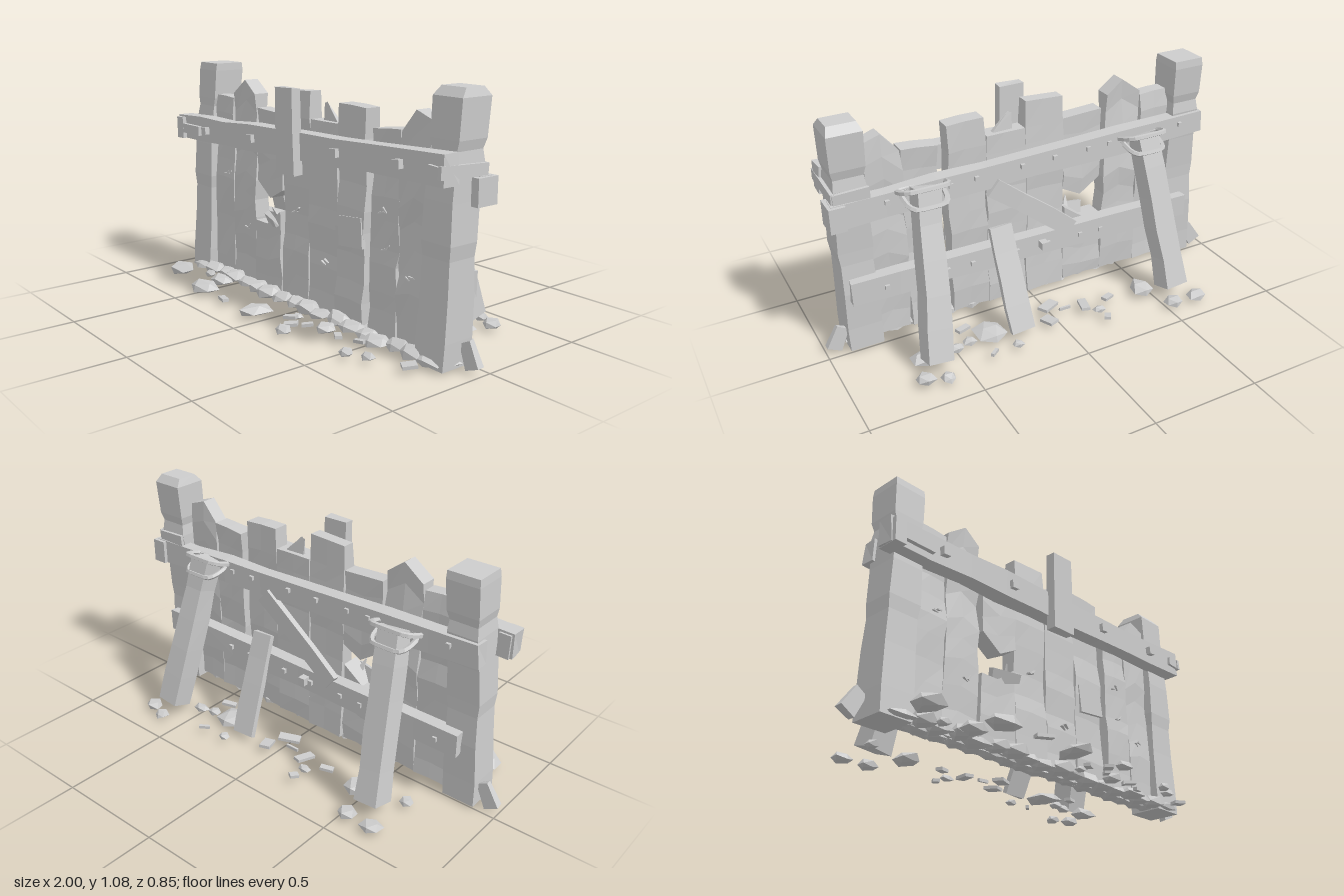
import * as THREE from 'three';

const stone = new THREE.MeshStandardMaterial({ color: 0xcccccc, flatShading: true });
stone.name = 'weathered grey';

// repeatable noise in -1..1, shared by coincident corners
function noise(i, j, k, seed) {
  const s = Math.sin(i * 12.99 + j * 78.23 + k * 37.72 + seed * 4.137) * 43758.55;
  return (s - Math.floor(s)) * 2 - 1;
}
const lerp = THREE.MathUtils.lerp;
let seed = 1;

function finish(geo, name, parent) {
  const g = geo.index ? geo.toNonIndexed() : geo;
  g.computeVertexNormals();
  const m = new THREE.Mesh(g, stone);
  m.name = name;
  parent.add(m);
  return m;
}

// upright hewn board, thicker at the foot; bottom and top edges are given at left, middle and right
function board(parent, name, x0, x1, bottom, top, z0, z1, rows) {
  const g = new THREE.BoxGeometry(1, 1, 1, 2, rows, 1), p = g.attributes.position;
  seed++;
  for (let n = 0; n < p.count; n++) {
    const i = Math.round((p.getX(n) + 0.5) * 2), v = p.getY(n) + 0.5;
    const j = Math.round(v * rows), k = p.getZ(n) > 0 ? 1 : 0;
    const inner = j > 0 && j < rows ? 1 : 0;
    const y = lerp(bottom[i], top[i], v);
    p.setXYZ(n,
      lerp(x0, x1, i / 2) + noise(i, j, 0, seed) * 0.007,
      y + noise(0, j, 2, seed) * 0.025 * inner,
      (k ? z1 + 0.015 * (1 - y) : z0) + noise(k, j, 5, seed) * 0.008 + noise(i, j, k, seed) * 0.002);
  }
  return finish(g, name, parent);
}

// rough timber running from a to b; w is its width, t its thickness
function beam(parent, name, a, b, w, t, segs = 1, rough = 0, endScale = 1) {
  const A = new THREE.Vector3(...a), B = new THREE.Vector3(...b), d = B.clone().sub(A);
  const g = new THREE.BoxGeometry(w, d.length(), t, 1, segs, 1), p = g.attributes.position;
  seed++;
  for (let n = 0; n < p.count; n++) {
    const v = p.getY(n) / d.length() + 0.5, j = Math.round(v * segs), s = lerp(1, endScale, v);
    const i = p.getX(n) > 0 ? 1 : 0, k = p.getZ(n) > 0 ? 1 : 0;
    p.setXYZ(n, p.getX(n) * s + noise(i, j, 0, seed) * rough,
      p.getY(n) + noise(i, j, k, seed) * rough,
      p.getZ(n) * s + noise(0, j, k, seed) * rough);
  }
  const m = finish(g, name, parent);
  m.quaternion.setFromUnitVectors(new THREE.Vector3(0, 1, 0), d.normalize());
  m.position.copy(A.add(B).multiplyScalar(0.5));
  return m;
}

function block(parent, name, x, y, z, w, h, d, rx = 0, ry = 0, rz = 0) {
  const m = finish(new THREE.BoxGeometry(w, h, d), name, parent);
  m.position.set(x, y, z);
  m.rotation.set(rx, ry, rz);
  return m;
}

function rock(parent, x, z, rx, rz, h) {
  const g = new THREE.IcosahedronGeometry(1, 0), p = g.attributes.position;
  seed++;
  for (let n = 0; n < p.count; n++) {
    const a = p.getX(n), b = p.getY(n), c = p.getZ(n);
    const s = 1.1 + 0.2 * noise(Math.round(a * 9), Math.round(b * 9), Math.round(c * 9), seed);
    p.setXYZ(n, a * s * rx, Math.max(b * s, -0.5) * h * 0.7, c * s * rz);
  }
  const m = finish(g, 'rock', parent);
  m.position.set(x, 0.015 + h * 0.35, z);
}

// squared corner post leaning slightly backward; chamfer trims the head
function post(parent, name, side, xb, xt, height, chamfer) {
  // y, half width, front z, back z
  const rows = [[0.01, 0.075, 0.155, -0.002], [0.12, 0.077, 0.15, 0], [0.3, 0.073, 0.14, -0.005],
    [0.44, 0.07, 0.137, 0.002], [0.5, 0.077, 0.142, 0], [0.66, 0.072, 0.137, -0.01],
    [0.8, 0.07, 0.125, -0.03], [0.85, 0.064, 0.117, -0.022], [0.89, 0.073, 0.117, -0.033],
    [height - 0.035, 0.075, 0.11, -0.044],
    [height, 0.075 - chamfer * 0.5, 0.108 - chamfer, -0.044 + chamfer]];
  const g = new THREE.BoxGeometry(1, 1, 1, 1, rows.length - 1, 1), p = g.attributes.position;
  for (let n = 0; n < p.count; n++) {
    const r = rows[Math.round((p.getY(n) + 0.5) * (rows.length - 1))];
    p.setXYZ(n, side * lerp(xb, xt, r[0] / height) + Math.sign(p.getX(n)) * r[1],
      r[0], p.getZ(n) > 0 ? r[2] : r[3]);
  }
  finish(g, name, parent);
}

export function createModel() {
  const model = new THREE.Group();
  model.name = 'brokenFence';

  // corner posts and the wedges at their feet
  post(model, 'rightPost', -1, 0.825, 0.785, 1.06, 0.004);
  post(model, 'leftPost', 1, 0.825, 0.845, 1.08, 0.028);
  for (const s of [-1, 1])
    beam(model, 'footWedge', [s * 0.965, 0.02, 0.045], [s * 0.915, 0.115, 0.045], 0.07, 0.03, 1, 0.004, 0.8);

  // wall boards: x range, bottom edge, top edge
  const flat = y => [y, y, y], foot = [0.025, 0.03, 0.025];
  const boards = [
    [-0.745, -0.572, foot, [0.91, 0.91, 0.905]],
    [-0.57, -0.39, foot, [0.93, 1.0, 0.94]],
    [-0.38, -0.175, foot, [0.345, 0.345, 0.42]],
    [-0.365, -0.17, [0.54, 0.47, 0.52], [0.88, 0.875, 0.87]],
    [-0.168, 0.02, foot, [0.98, 0.985, 0.99]],
    [0.025, 0.215, foot, flat(0.87)],
    [0.218, 0.395, foot, [0.96, 0.96, 0.955]],
    [0.435, 0.6, foot, [0.88, 0.89, 0.895]],
    [0.602, 0.76, foot, [0.89, 0.98, 0.95]],
  ];
  boards.forEach(([x0, x1, b, t], i) => {
    const dz = noise(i, 3, 1, 7) * 0.005;
    board(model, 'wallBoard', x0, x1, b, t, 0.032 + dz, 0.1 + dz, t[1] - b[1] < 0.5 ? 4 : 9);
  });
  // splinters at the breaks
  beam(model, 'splinter', [-0.3, 0.36, 0.09], [-0.18, 0.37, 0.14], 0.07, 0.02, 1, 0.006, 0.5);
  beam(model, 'splinter', [-0.21, 0.34, 0.08], [-0.235, 0.43, 0.12], 0.05, 0.02, 1, 0.004, 0.1);
  beam(model, 'splinter', [0.125, 0.85, 0.06], [0.085, 0.945, 0.06], 0.1, 0.025, 1, 0.003, 0.25);
  // patch board
  block(model, 'patch', 0.315, 0.43, 0.11, 0.15, 0.13, 0.02, -0.02, 0, 0.1);
  // gouges
  [[-0.63, 0.53], [-0.46, 0.29], [-0.08, 0.44], [0.13, 0.25], [0.52, 0.4], [0.5, 0.55], [0.66, 0.31]]
    .forEach(([x, y], i) => [0, 1].forEach(k => block(model, 'splinterChip', x + k * 0.02, y + k * 0.012, 0.108,
      0.03, 0.006, 0.018, 0, 0.3, noise(i, k, 0, 3))));

  // front rail with hanging board, end pieces, nails and strap
  const railY = x => 0.765 + 0.031 * x;
  beam(model, 'frontRail', [-0.935, railY(-0.935), 0.16], [0.92, railY(0.92), 0.16], 0.115, 0.072, 9, 0.005);
  const hanging = beam(model, 'hangingBoard', [0.012, 0.64, 0.208], [0.01, 1.012, 0.208], 0.122, 0.045, 2, 0.003);
  hanging.rotation.z += 0.01;
  block(model, 'railEndCap', -0.9, 0.735, 0.162, 0.055, 0.105, 0.1, 0, 0, 0.03);
  block(model, 'railPeg', -0.8, 0.735, 0.199, 0.15, 0.045, 0.025);
  for (const x of [-0.67, -0.28, 0.32, 0.69])
    block(model, 'nail', x, railY(x), 0.2, 0.036, 0.036, 0.035, 0, 0, 0.1);
  beam(model, 'strap', [0.85, 0.79, 0.203], [0.918, 0.785, 0.203], 0.04, 0.014);
  beam(model, 'strap', [0.918, 0.772, -0.035], [0.765, 0.78, -0.04], 0.05, 0.014);
  block(model, 'strap', 0.916, 0.78, 0.09, 0.016, 0.05, 0.25, -0.05);

  // back rails
  const backY = x => 0.72 - 0.025 * x;
  const lowY = x => 0.31 + 0.012 * x;
  beam(model, 'upperBackRail', [-0.88, backY(-0.88), -0.016], [0.93, backY(0.93), -0.016], 0.11, 0.066, 8, 0.005);
  block(model, 'backRailEnd', 0.91, 0.695, -0.013, 0.07, 0.11, 0.105);
  beam(model, 'lowerBackRail', [-0.82, lowY(-0.82), -0.016], [0.88, lowY(0.88), -0.016], 0.11, 0.06, 8, 0.005);
  for (const x of [-0.75, -0.36, -0.25, -0.08, 0.08, 0.3, 0.42, 0.7]) {
    block(model, 'bolt', x, backY(x) + 0.015, -0.052, 0.02, 0.02, 0.016);
    block(model, 'bolt', x + 0.03, lowY(x), -0.05, 0.02, 0.02, 0.016);
  }
  block(model, 'knot', -0.02, 0.315, -0.06, 0.035, 0.035, 0.04);
  beam(model, 'diagonalBoard', [0.225, 0.665, -0.045], [-0.17, 0.355, -0.045], 0.085, 0.028, 3, 0.003);

  // leaning braces, each tied by two rope loops: half width, front y and z, back y and z
  for (const [xt, xb] of [[-0.52, -0.59], [0.55, 0.615]]) {
    beam(model, 'brace', [xb, 0.055, -0.292], [xt, 0.765, -0.085], 0.11, 0.11, 5, 0.005, 0.9);
    for (const [w, y0, z0, y1, z1] of [[0.1, 0.75, -0.04, 0.78, -0.135], [0.085, 0.735, -0.05, 0.705, -0.15]]) {
      const pts = [[-w, y0, z0], [-w, lerp(y0, y1, 0.7), lerp(z0, z1, 0.7)], [-w * 0.7, y1, z1],
        [w * 0.7, y1, z1], [w, lerp(y0, y1, 0.7), lerp(z0, z1, 0.7)], [w, y0, z0]]
        .map(q => new THREE.Vector3(q[0] + xt, q[1], q[2]));
      const curve = new THREE.CatmullRomCurve3(pts, true, 'catmullrom', 0.2);
      finish(new THREE.TubeGeometry(curve, 24, 0.012, 5, true), 'ropeLoop', model);
    }
  }
  beam(model, 'shortBrace', [0.19, 0.03, -0.247], [0.21, 0.485, -0.073], 0.115, 0.028, 4, 0.003, 0.92);

  // loose rocks: x, z, radius x, radius z, height
  const rubble = new THREE.Group();
  rubble.name = 'rubble';
  model.add(rubble);
  [[-0.79, 0.29, 0.07, 0.06, 0.05], [-0.65, 0.21, 0.03, 0.025, 0.03], [-0.51, 0.23, 0.055, 0.045, 0.04],
    [-0.48, 0.35, 0.09, 0.055, 0.045], [-0.07, 0.34, 0.06, 0.08, 0.04], [0.2, 0.38, 0.04, 0.03, 0.03],
    [0.3, 0.235, 0.05, 0.04, 0.035], [0.55, 0.33, 0.03, 0.025, 0.03], [0.63, 0.29, 0.03, 0.025, 0.03],
    [0.1, 0.23, 0.025, 0.02, 0.02], [-0.66, -0.39, 0.045, 0.04, 0.035], [-0.53, -0.385, 0.045, 0.035, 0.035],
    [-0.46, -0.22, 0.05, 0.055, 0.04], [-0.68, -0.17, 0.03, 0.025, 0.03], [-0.2, -0.27, 0.03, 0.02, 0.025],
    [0.25, -0.32, 0.025, 0.02, 0.025], [0.32, -0.18, 0.065, 0.075, 0.04], [0.43, -0.2, 0.03, 0.025, 0.03],
    [0.5, -0.22, 0.035, 0.025, 0.03], [0.61, -0.385, 0.03, 0.03, 0.03], [0.7, -0.35, 0.045, 0.035, 0.035],
    [0.65, -0.22, 0.055, 0.05, 0.04]].forEach(r => rock(rubble, ...r));
  // packed stones under and along the front foot
  for (let i = 0; i < 18; i++) {
    const x = -0.8 + i * 0.096 + 0.015 * noise(i, 2, 2, 4);
    rock(rubble, x, 0.145 + 0.02 * noise(i, 1, 2, 9),
      0.062 + 0.012 * noise(i, 6, 1, 5), 0.05, 0.044 + 0.012 * noise(i, 4, 0, 2));
    rock(rubble, x + 0.04, 0.075, 0.055, 0.04, 0.03);
  }

  // flat wooden chips: x, z, length, width, turn
  [[-0.28, 0.37, 0.08, 0.03, -0.3], [0.17, 0.32, 0.06, 0.04, 0.8], [0.4, 0.25, 0.06, 0.03, -0.6],
    [0.8, 0.23, 0.06, 0.05, 1], [0.1, 0.27, 0.06, 0.03, 0.5], [0.22, 0.27, 0.05, 0.025, 0.9],
    [-0.15, -0.21, 0.09, 0.04, 1.3], [0, -0.14, 0.1, 0.05, 0.5], [0.05, -0.24, 0.07, 0.05, 1.9],
    [-0.28, -0.21, 0.06, 0.03, 0.4], [-0.06, -0.19, 0.06, 0.01, 0.1], [0.42, -0.11, 0.07, 0.03, 0.4],
    [-0.2, -0.34, 0.04, 0.03, 1], [0.37, -0.33, 0.05, 0.015, 0.7], [0.5, 0.22, 0.05, 0.02, 0.2]]
    .forEach(([x, z, l, w, a]) => block(rubble, 'woodChip', x, 0.03, z, l, 0.014, w, 0, a, 0.1));

  return model;
}
